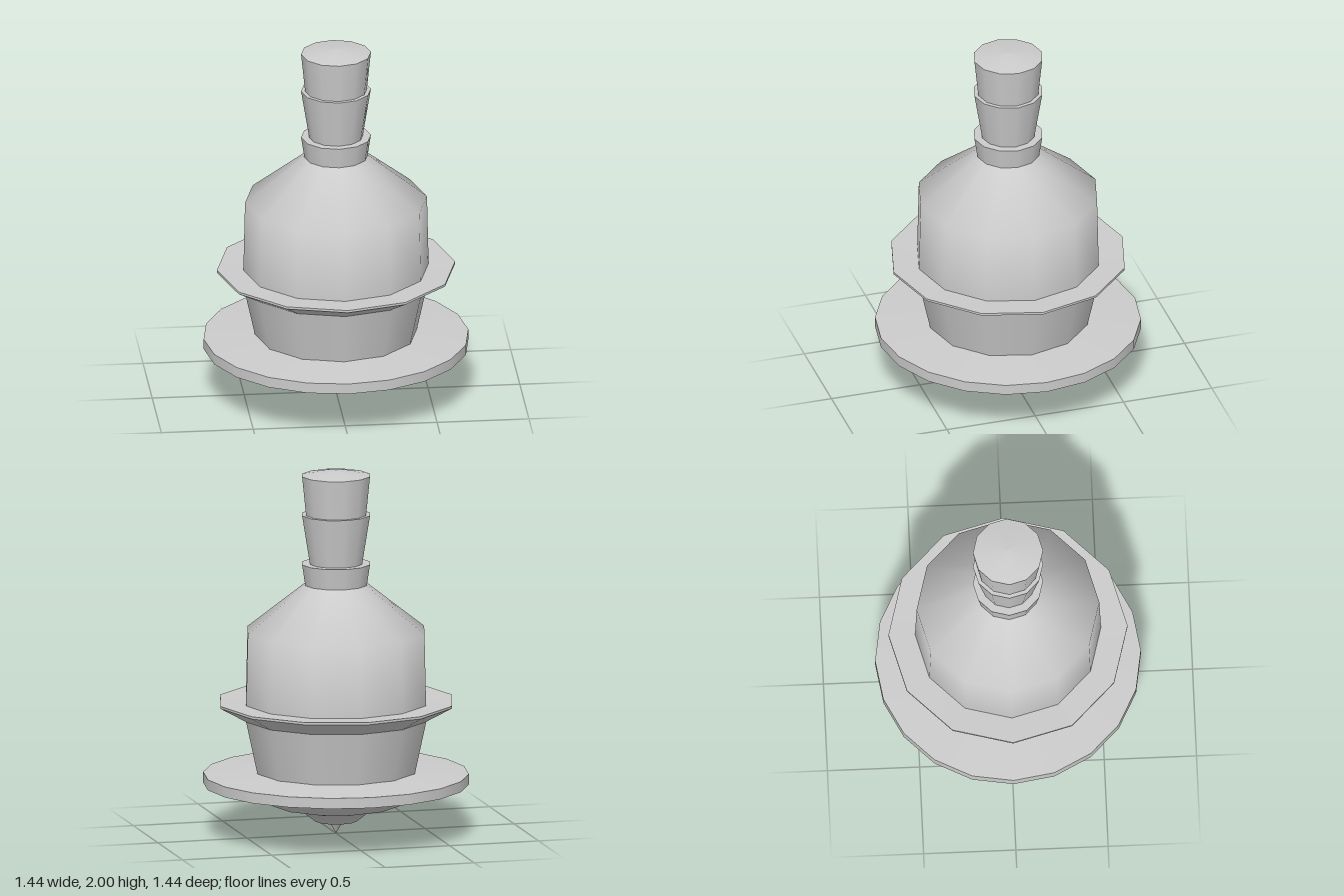
import * as THREE from 'three';

const material = new THREE.MeshStandardMaterial({ color: 0xcccccc, side: THREE.DoubleSide });

export function createModel() {
  const group = new THREE.Group();

  // One turned part: each profile is smooth, edges between profiles stay sharp
  function turned(name, sides, ...profiles) {
    const part = new THREE.Group();
    part.name = name;
    for (const profile of profiles) {
      const points = profile.map(([r, y]) => new THREE.Vector2(r, y));
      const mesh = new THREE.Mesh(new THREE.LatheGeometry(points, sides), material);
      mesh.name = name + 'Surface';
      part.add(mesh);
    }
    group.add(part);
  }

  // Pointed tip and bowl under the disc
  turned('tip', 12, [[0, 0], [0.04, 0.07]]);
  turned('bowl', 12,
    [[0, 0.065], [0.115, 0.07]],
    [[0.115, 0.07], [0.19, 0.13], [0.35, 0.165], [0.45, 0.265]]);

  // Wide disc: underside, rim, top
  turned('disc', 20,
    [[0.4, 0.26], [0.72, 0.275]],
    [[0.72, 0.275], [0.72, 0.333]],
    [[0.72, 0.333], [0.4, 0.352]]);

  // Lower body flaring up to the flange
  turned('lowerBody', 12, [[0.437, 0.33], [0.505, 0.64]]);

  // Flange: sloped underside, thin rim, flat top
  turned('flange', 12,
    [[0.505, 0.64], [0.648, 0.72]],
    [[0.648, 0.72], [0.648, 0.733]],
    [[0.648, 0.733], [0.5, 0.728]]);

  // Upper body and shoulder
  turned('upperBody', 12, [[0.504, 0.725], [0.495, 1.12], [0.172, 1.375]]);

  // Stacked neck rings, each widening upward to a flat ledge
  turned('collar', 12,
    [[0.172, 1.372], [0.19, 1.49]],
    [[0.19, 1.49], [0.14, 1.49]]);
  turned('neck', 12,
    [[0.146, 1.49], [0.19, 1.76]],
    [[0.19, 1.76], [0.15, 1.76]]);
  turned('stopper', 12,
    [[0.168, 1.76], [0.19, 1.975]],
    [[0.19, 1.975], [0.09, 1.992], [0, 2]]);

  return group;
}
